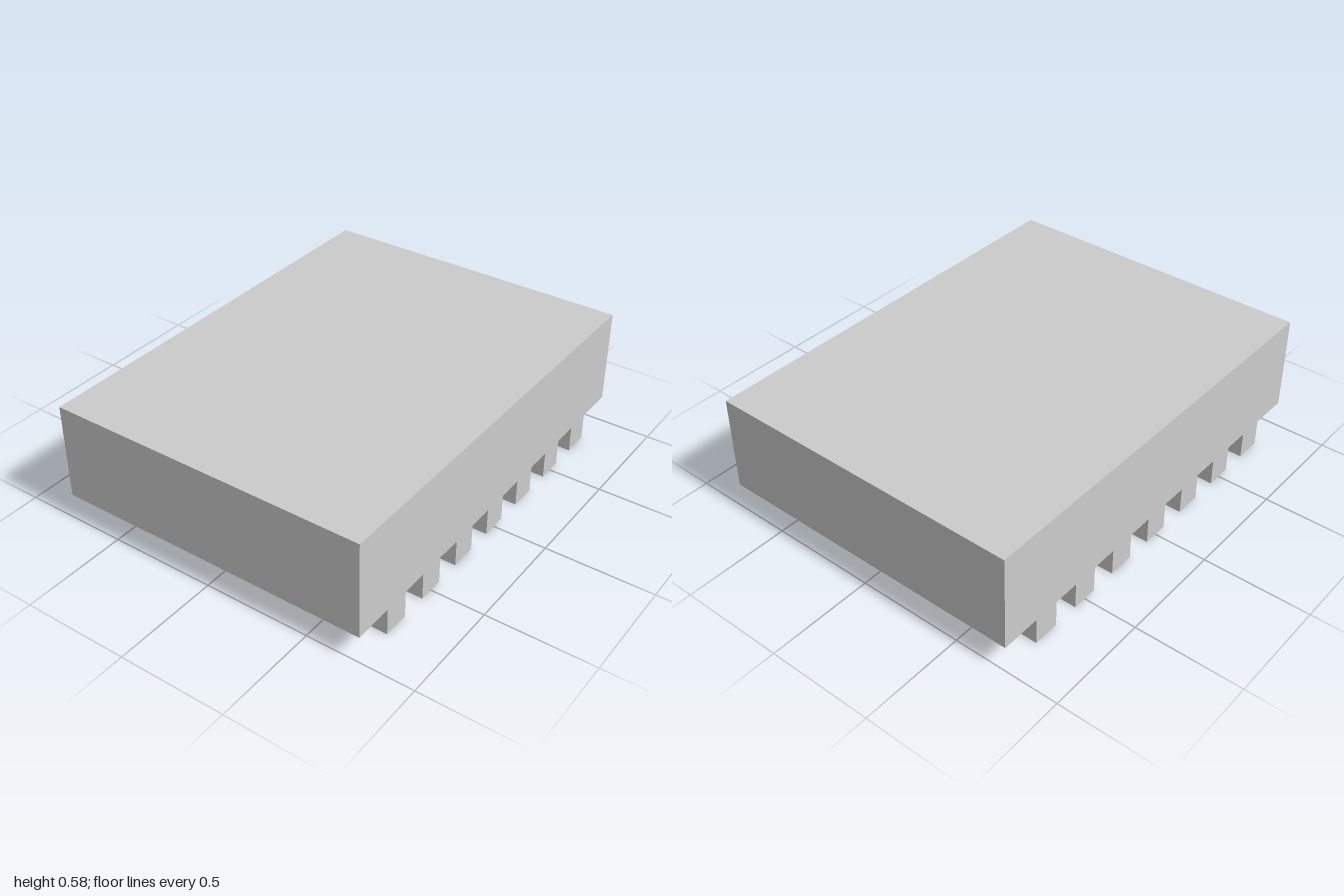
import * as THREE from 'three';

const material = new THREE.MeshStandardMaterial({ color: 0xcccccc, flatShading: true });

// Box spanning y0..y1, centred on (x, z)
function block(name, width, depth, y0, y1, x = 0, z = 0) {
  const mesh = new THREE.Mesh(new THREE.BoxGeometry(width, y1 - y0, depth), material);
  mesh.name = name;
  mesh.position.set(x, (y0 + y1) / 2, z);
  return mesh;
}

export function createModel() {
  const group = new THREE.Group();
  group.name = 'chipPackage';
  const bodyBottom = 0.127;

  // Main body
  group.add(block('body', 2, 1.5, bodyBottom, 0.577));

  // Central pad on the underside
  group.add(block('centrePad', 1.43, 0.79, 0, bodyBottom));

  // Seven contacts along the front and back edges
  for (const side of [1, -1]) {
    const row = new THREE.Group();
    row.name = side > 0 ? 'frontContacts' : 'backContacts';
    for (let i = -3; i <= 3; i++) {
      row.add(block('contact', 0.125, 0.2, 0, bodyBottom, i * 0.25, side * 0.65));
    }
    group.add(row);
  }
  return group;
}
